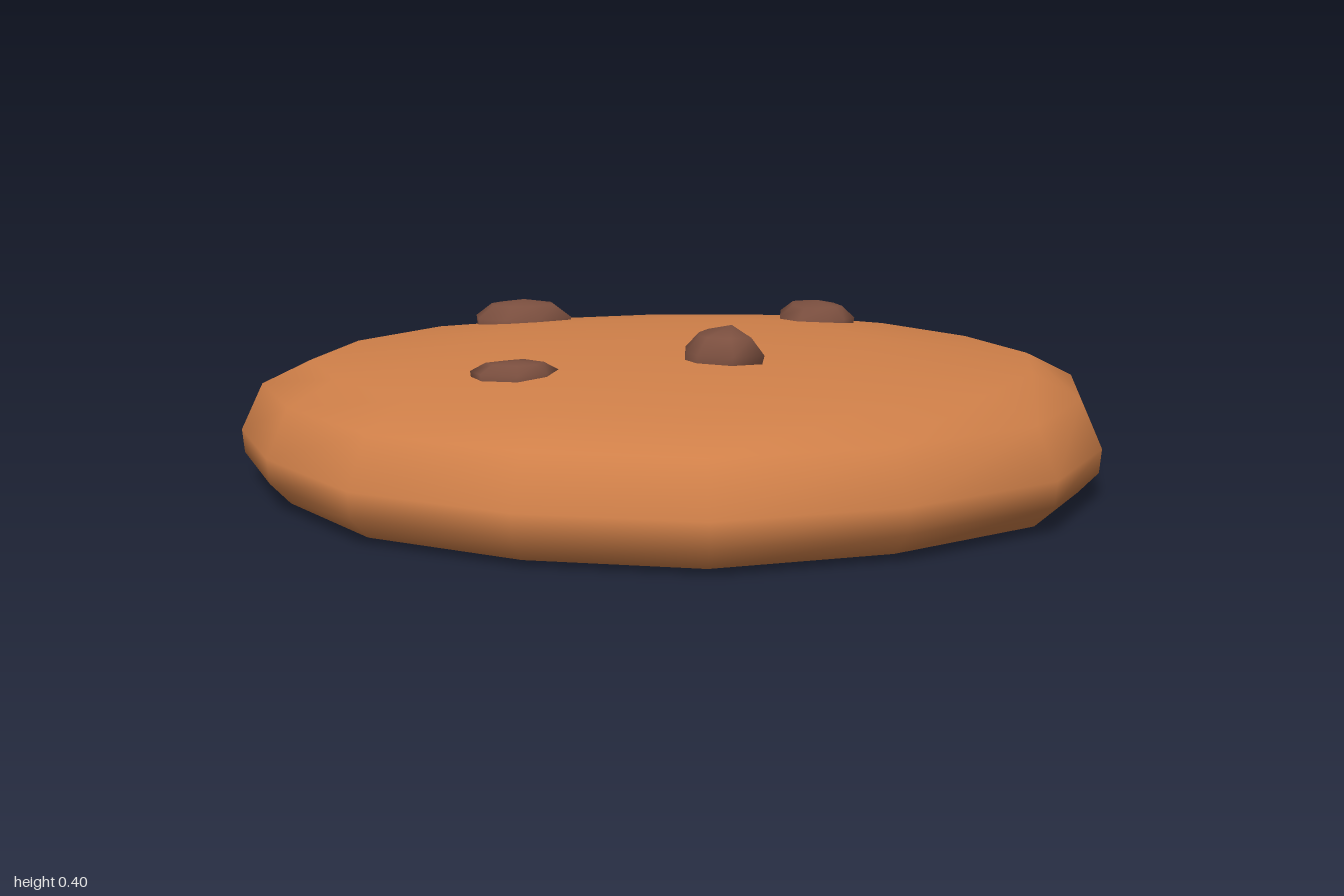
import * as THREE from 'three';

// Closed skin over an irregular [x, z] outline: rows of [scale, y] from the
// bottom up, finished with a single apex point.
function loft(outline, rows, centre, apex, shift = 0) {
  const n = outline.length, pos = [], index = [];
  rows.forEach(([s, y], r) => {
    // higher rows lean toward the apex
    const k = shift * r / rows.length;
    const cx = centre[0] + (apex[0] - centre[0]) * k;
    const cz = centre[1] + (apex[2] - centre[1]) * k;
    for (const [x, z] of outline) {
      pos.push(cx + (x - centre[0]) * s, y, cz + (z - centre[1]) * s);
    }
  });
  pos.push(...apex);
  const top = rows.length * n;
  for (let i = 0; i < n; i++) {
    const j = (i + 1) % n;
    for (let r = 0; r < rows.length - 1; r++) {
      const a = r * n + i, b = r * n + j;
      index.push(a, a + n, b, b, a + n, b + n);
    }
    index.push(top - n + i, top, top - n + j);
  }
  const g = new THREE.BufferGeometry();
  g.setAttribute('position', new THREE.Float32BufferAttribute(pos, 3));
  g.setIndex(index);
  g.computeVertexNormals();
  return g;
}

export function createModel() {
  const group = new THREE.Group();
  const dough = new THREE.MeshStandardMaterial({ color: 0xd08049 });
  dough.name = 'bakedDough';
  const chocolate = new THREE.MeshStandardMaterial({ color: 0x7b4f3f });
  chocolate.name = 'chocolate';

  const add = (name, geometry, material) => {
    const mesh = new THREE.Mesh(geometry, material);
    mesh.name = name;
    group.add(mesh);
  };

  // Biscuit: sixteen-sided uneven disc with a rounded rim and a low dome
  const rim = [
    [-0.22, -1], [0.16, -0.965], [0.53, -0.845], [0.85, -0.59],
    [0.985, -0.21], [0.97, 0.18], [0.845, 0.55], [0.57, 0.82],
    [0.23, 0.99], [-0.18, 0.98], [-0.56, 0.845], [-0.82, 0.565],
    [-0.985, 0.21], [-0.98, -0.19], [-0.88, -0.56], [-0.59, -0.845],
  ];
  add('biscuitBody', loft(rim,
    [[0.95, 0.012], [0.995, 0.06], [1, 0.115], [0.95, 0.225], [0.84, 0.28], [0.45, 0.318]],
    [0, 0], [0, 0.333, 0]), dough);

  // Flat underside with its own normals, so the lower edge stays crisp
  const base = [...rim].reverse();
  add('biscuitBase', loft(base, [[0.95, 0.012]], [0, 0], [0, 0, 0]), dough);

  // Chocolate chips half sunk into the top
  const chips = [
    { name: 'backChip', peak: [0.02, 0.35, -0.74], y: [0.265, 0.305, 0.338], outline: [
      [-0.02, -0.855], [0.06, -0.84], [0.1, -0.82], [0.14, -0.72], [0.1, -0.63],
      [-0.01, -0.62], [-0.09, -0.66], [-0.12, -0.75], [-0.08, -0.83]] },
    { name: 'leftChip', peak: [0.66, 0.348, -0.25], y: [0.27, 0.308, 0.338], outline: [
      [0.645, -0.395], [0.715, -0.385], [0.74, -0.25], [0.69, -0.14],
      [0.64, -0.125], [0.585, -0.13], [0.5, -0.155], [0.545, -0.28]] },
    { name: 'rightChip', peak: [-0.55, 0.334, 0.15], y: [0.28, 0.312, 0.33], outline: [
      [-0.63, 0.09], [-0.55, 0.085], [-0.485, 0.09], [-0.465, 0.185],
      [-0.52, 0.225], [-0.59, 0.22], [-0.64, 0.15]] },
    { name: 'frontChip', peak: [-0.11, 0.398, 0.34], y: [0.29, 0.338, 0.374], outline: [
      [-0.06, 0.15], [-0.02, 0.2], [-0.02, 0.27], [-0.09, 0.42],
      [-0.16, 0.4], [-0.205, 0.33], [-0.2, 0.28], [-0.14, 0.2]] },
  ];
  for (const { name, peak, y, outline } of chips) {
    const centre = [0, 1].map(a => outline.reduce((s, p) => s + p[a], 0) / outline.length);
    add(name, loft(outline, [[0.95, y[0]], [1, y[1]], [0.66, y[2]]], centre, peak, 0.5), chocolate);
  }
  return group;
}
